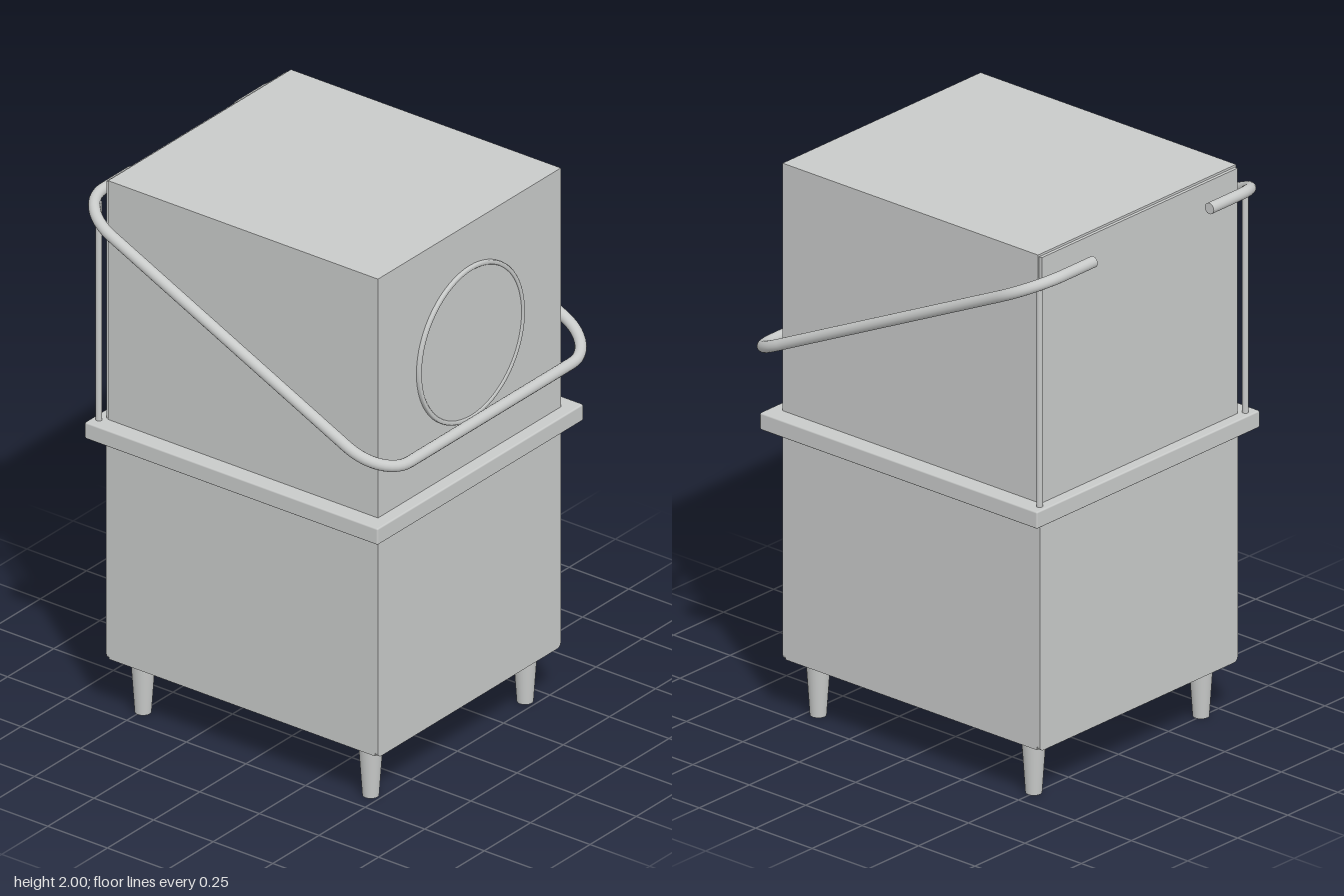
import * as THREE from 'three';
import { RoundedBoxGeometry } from 'three/addons/geometries/RoundedBoxGeometry.js';

export function createModel() {
  const model = new THREE.Group();
  model.name = 'hoodDishwasher';
  const steel = new THREE.MeshStandardMaterial({ color: 0xc8cac9 });
  steel.name = 'brushed steel';

  const add = (name, geometry, x = 0, y = 0, z = 0) => {
    const mesh = new THREE.Mesh(geometry, steel);
    mesh.name = name;
    mesh.position.set(x, y, z);
    model.add(mesh);
    return mesh;
  };
  // box given by its limits on each axis
  const block = (name, x0, x1, y0, y1, z0, z1) =>
    add(name, new THREE.BoxGeometry(x1 - x0, y1 - y0, z1 - z0), (x0 + x1) / 2, (y0 + y1) / 2, (z0 + z1) / 2);

  const W = 0.495, FRONT = 0.55, BACK = -0.59, BASE = 0.2, SKIN = 0.012;

  // lower cabinet: core with a recessed floor, end panels and side flanges
  block('cabinetCore', -W, W, BASE + 0.02, 1.05, BACK + SKIN, FRONT - SKIN);
  const r = 0.018;
  const panel = new THREE.Shape();
  panel.moveTo(-W, 1.05);
  panel.lineTo(-W, BASE + r);
  panel.absarc(-W + r, BASE + r, r, Math.PI, Math.PI * 1.5, false);
  panel.absarc(W - r, BASE + r, r, Math.PI * 1.5, Math.PI * 2, false);
  panel.lineTo(W, 1.05);
  const panelGeometry = new THREE.ExtrudeGeometry(panel, { depth: SKIN, bevelEnabled: false, curveSegments: 6 });
  add('cabinetFrontPanel', panelGeometry, 0, 0, FRONT - SKIN);
  add('cabinetBackPanel', panelGeometry, 0, 0, BACK);
  for (const s of [-1, 1]) {
    const flange = block('cabinetSideFlange', -SKIN / 2, SKIN / 2, BASE + 0.002, BASE + 0.02, BACK + SKIN, FRONT - SKIN);
    flange.position.x = s * (W - SKIN / 2);
  }

  // worktop rim between cabinet and hood
  add('rim', new RoundedBoxGeometry(1.115, 0.062, 1.23, 2, 0.006), 0, 1.071, -0.018);

  // lifting hood with a slightly narrower back panel
  block('hood', -W, W, 1.09, 2, -0.582, FRONT);
  block('hoodBackPanel', -W + 0.006, W - 0.006, 1.09, 1.992, -0.594, -0.58);

  // round badge plate: raised ring around a shallow disc
  const ring = [[0.272, 0], [0.272, 0.01], [0.275, 0.013], [0.284, 0.013], [0.287, 0.01], [0.287, 0]]
    .map(([x, y]) => new THREE.Vector2(x, y)).reverse();
  const ringMesh = add('dialRing', new THREE.LatheGeometry(ring.reverse(), 64), 0, 1.555, FRONT);
  ringMesh.rotation.x = Math.PI / 2;
  ringMesh.material.side = THREE.DoubleSide;
  add('dialDisc', new THREE.CylinderGeometry(0.273, 0.273, 0.008, 64), 0, 1.555, FRONT + 0.004).rotation.x = Math.PI / 2;

  // tapered legs and rear guide posts
  for (const s of [-1, 1]) {
    for (const z of [0.46, -0.495]) {
      add('leg', new THREE.CylinderGeometry(0.043, 0.028, 0.22, 24), s * 0.418, 0.11, z);
    }
    add('guidePost', new THREE.CylinderGeometry(0.011, 0.011, 0.83, 16), s * 0.514, 1.505, -0.606);
  }

  // sloping wrap-around handle, drawn flat in x and z then tilted
  const X = 0.585, ZF = 0.638, ZB = -0.645, R = 0.145, END = 0.29, q = Math.PI / 2;
  const path = new THREE.Path();
  path.moveTo(END, ZB);
  path.lineTo(X - R, ZB);
  path.absarc(X - R, ZB + R, R, -q, 0, false);
  path.absarc(X - R, ZF - R, R, 0, q, false);
  path.absarc(R - X, ZF - R, R, q, 2 * q, false);
  path.absarc(R - X, ZB + R, R, 2 * q, 3 * q, false);
  path.lineTo(-END, ZB);
  const points = path.getSpacedPoints(160)
    .map(p => new THREE.Vector3(p.x, 1.318 + (ZF - p.y) * 0.474, p.y));
  const curve = new THREE.CatmullRomCurve3(points);
  add('handle', new THREE.TubeGeometry(curve, 200, 0.02, 16));
  for (const s of [-1, 1]) {
    const end = points[s > 0 ? 0 : points.length - 1];
    add('handleEndCap', new THREE.CircleGeometry(0.02, 16), end.x, end.y, end.z).rotation.y = -s * q;
  }

  return model;
}
